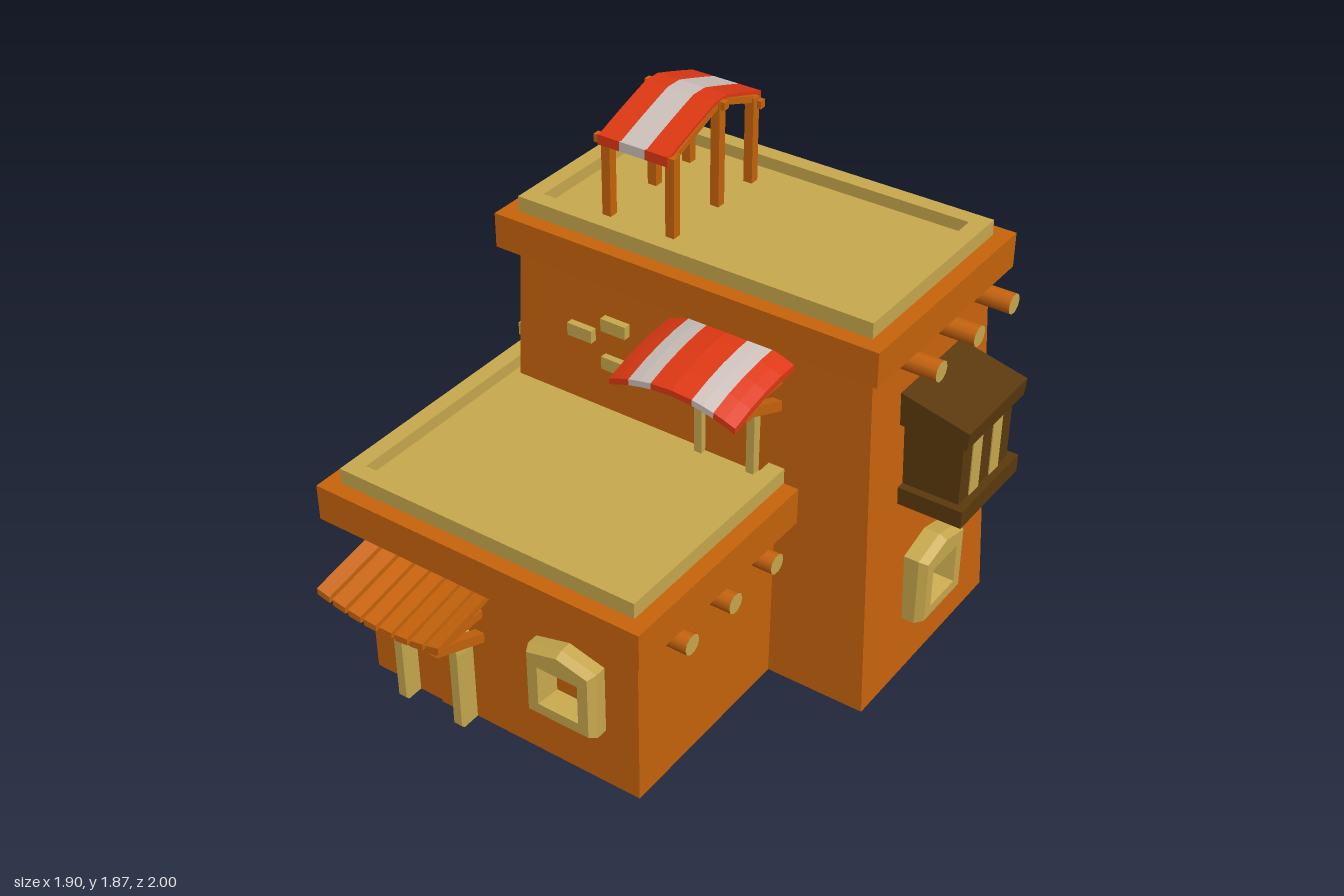
import * as THREE from 'three';

const mat = (name, color, side = THREE.FrontSide) => {
  const m = new THREE.MeshStandardMaterial({ color, side });
  m.name = name;
  return m;
};

export function createModel() {
  const model = new THREE.Group();
  model.name = 'adobeHouse';
  const clay = mat('orange clay', 0xc8640c, THREE.DoubleSide);
  const sand = mat('sand', 0xc8a94e);
  const darkWood = mat('dark wood', 0x5c390d);
  const red = mat('red cloth', 0xde3812);
  const white = mat('white cloth', 0xcdc0ba);

  const add = (name, geo, material, parent = model) => {
    const mesh = new THREE.Mesh(geo, material);
    mesh.name = name;
    parent.add(mesh);
    return mesh;
  };
  const flat = (geo) => {
    const g = geo.index ? geo.toNonIndexed() : geo;
    g.computeVertexNormals();
    return g;
  };
  // Box given by its limits
  const block = (name, m, x0, x1, y0, y1, z0, z1, parent) =>
    add(name, new THREE.BoxGeometry(x1 - x0, y1 - y0, z1 - z0)
      .translate((x0 + x1) / 2, (y0 + y1) / 2, (z0 + z1) / 2), m, parent);
  // Thin slab whose height follows a rule y(x, z)
  const sheet = (name, m, x0, x1, z0, z1, t, rule, sx = 1, sz = 1) => {
    const g = new THREE.BoxGeometry(x1 - x0, t, z1 - z0, sx, 1, sz)
      .translate((x0 + x1) / 2, 0, (z0 + z1) / 2);
    const p = g.attributes.position;
    for (let i = 0; i < p.count; i++) p.setY(i, p.getY(i) + rule(p.getX(i), p.getZ(i)));
    return add(name, flat(g), m);
  };
  // Square timber between two points
  const beam = (name, a, b, w, m = clay) => {
    const p = new THREE.Vector3(...a), q = new THREE.Vector3(...b);
    const mesh = add(name, new THREE.BoxGeometry(w, w, p.distanceTo(q)), m);
    mesh.position.copy(p).add(q).multiplyScalar(0.5);
    mesh.lookAt(q);
  };

  // Walls: open-bottomed boxes, narrowed towards the top
  const walls = (name, b, t, h) => {
    const g = new THREE.BoxGeometry(1, 1, 1);
    const p = g.attributes.position;
    for (let i = 0; i < p.count; i++) {
      const r = p.getY(i) > 0 ? t : b;
      p.setXYZ(i, p.getX(i) > 0 ? r[1] : r[0], p.getY(i) > 0 ? h : 0, p.getZ(i) > 0 ? r[3] : r[2]);
    }
    const idx = Array.from(g.index.array);
    idx.splice(18, 6);
    g.setIndex(idx);
    g.clearGroups();
    add(name, flat(g), clay);
  };
  walls('lowerWalls', [-0.755, 0.365, -0.89, 0.72], [-0.755, 0.365, -0.89, 0.72], 0.7);
  walls('towerWalls', [-0.735, 0.74, -0.88, -0.04], [-0.675, 0.69, -0.8, -0.06], 1.36);

  // Parapet band with a recessed sand roof
  const roof = (name, x0, x1, z0, z1, y0, y1, y2) => {
    block(name + 'Parapet', clay, x0, x1, y0, y1, z0, z1);
    const rect = (C, d) => {
      const s = new C();
      s.moveTo(x0 + d, -z1 + d); s.lineTo(x1 - d, -z1 + d);
      s.lineTo(x1 - d, -z0 - d); s.lineTo(x0 + d, -z0 - d);
      s.closePath();
      return s;
    };
    const rim = rect(THREE.Shape, 0.057);
    rim.holes.push(rect(THREE.Path, 0.117));
    add(name + 'Rim', new THREE.ExtrudeGeometry(rim, { depth: y2 - y1, bevelEnabled: false })
      .rotateX(-Math.PI / 2).translate(0, y1, 0), sand);
    block(name + 'Floor', sand, x0 + 0.1, x1 - 0.1, y1 - 0.01, y1 + 0.012, z0 + 0.1, z1 - 0.1);
  };
  roof('lowerRoof', -0.84, 0.45, -1, 0.83, 0.675, 0.81, 0.868);
  roof('towerRoof', -0.73, 0.74, -0.875, 0, 1.345, 1.472, 1.528);

  // Protruding log ends with pale cut faces
  const logs = (name, x0, x1, y, zs) => zs.forEach((z) => {
    const g = new THREE.CylinderGeometry(0.037, 0.037, x1 - x0, 10)
      .rotateZ(Math.PI / 2).translate((x0 + x1) / 2, y, z);
    add(name, g, [clay, sand, sand]);
  });
  logs('lowerLeftLog', 0.3, 0.475, 0.615, [0.585, 0.345, 0.105]);
  logs('lowerRightLog', -0.95, -0.7, 0.615, [0.35, 0.11, -0.12, -0.36]);
  logs('towerLeftLog', 0.65, 0.82, 1.297, [-0.26, -0.505, -0.74]);
  logs('towerRightLog', -0.81, -0.62, 1.297, [-0.26, -0.505, -0.74]);

  // Window frames: gabled rings joined from back to front and into the opening
  const ring = (w, y0, y1, peak, z) =>
    [[-w, y0, z], [w, y0, z], [w, y1, z], [0, peak, z], [-w, y1, z]];
  const rings = [
    ring(0.135, 0.23, 0.495, 0.53, -0.03), ring(0.135, 0.23, 0.495, 0.53, 0.045),
    ring(0.12, 0.245, 0.485, 0.515, 0.075), ring(0.08, 0.285, 0.44, 0.44, 0.075),
    ring(0.058, 0.305, 0.425, 0.425, 0)];
  const pos = [];
  for (let i = 0; i < rings.length - 1; i++) {
    for (let j = 0; j < 5; j++) {
      const k = (j + 1) % 5, A = rings[i], B = rings[i + 1];
      pos.push(...A[j], ...A[k], ...B[k], ...A[j], ...B[k], ...B[j]);
    }
  }
  const frameGeo = new THREE.BufferGeometry();
  frameGeo.setAttribute('position', new THREE.Float32BufferAttribute(pos, 3));
  frameGeo.computeVertexNormals();
  [[0.1, 0.718, 0], [0.733, -0.435, 1], [-0.753, 0.47, -1], [-0.753, -0.47, -1]].forEach(([x, z, turn]) => {
    const w = add('windowFrame', frameGeo, sand);
    w.position.set(x, 0, z);
    w.rotation.y = turn * Math.PI / 2;
  });

  // Arched front door
  const arch = new THREE.Shape();
  arch.moveTo(-0.145, 0);
  arch.lineTo(-0.145, 0.315);
  arch.absarc(0, 0.315, 0.145, Math.PI, 0, true);
  arch.lineTo(0.145, 0);
  arch.lineTo(0.1, 0);
  arch.lineTo(0.1, 0.315);
  arch.absarc(0, 0.315, 0.1, 0, Math.PI, false);
  arch.lineTo(-0.1, 0);
  add('doorArch', new THREE.ExtrudeGeometry(arch, { depth: 0.1, bevelEnabled: true, bevelSize: 0.006, bevelThickness: 0.006, bevelSegments: 1, bevelOffset: -0.006, curveSegments: 8 })
    .translate(-0.455, 0, 0.69), sand);
  block('doorLeafRight', clay, -0.555, -0.459, 0, 0.35, 0.715, 0.728);
  block('doorLeafLeft', clay, -0.453, -0.355, 0, 0.35, 0.715, 0.735);

  // Slatted porch roof
  const sag = (x, z) => 0.507 + 0.55 * (x + 0.455) ** 2 + (1 - z) * 0.2;
  for (let i = 0; i < 8; i++) {
    const x = -0.712 + i * 0.0655;
    sheet('porchSlat', clay, x, x + 0.052, 0.72, 1, 0.025, sag);
  }
  sheet('porchBeam', clay, -0.67, -0.245, 0.925, 0.96, 0.035,
    (x) => 0.472 + 0.45 * (x + 0.455) ** 2, 8);

  // Striped awning over the roof door
  const hump = (x, z) => 1.312 - 0.85 * (x - 0.172) ** 2 - 0.5 * (z + 0.06) ** 2;
  const stripes = [-0.065, 0.01, 0.095, 0.25, 0.33, 0.41];
  for (let i = 0; i < 5; i++) {
    sheet('awningStripe', i % 2 ? white : red, stripes[i], stripes[i + 1], -0.07, 0.27, 0.022, hump, 2, 4);
  }
  sheet('awningBeam', clay, -0.045, 0.385, 0.135, 0.17, 0.035,
    (x) => 1.225 - 0.8 * (x - 0.172) ** 2, 8);

  // Brackets carrying the porch roof and the awning
  const bracket = (x, y, z0, z1) => {
    beam('bracketArm', [x, y, z0 - 0.02], [x, y, z1], 0.032);
    beam('bracketBrace', [x, y - 0.11, z0 - 0.02], [x, y - 0.01, z1 - 0.01], 0.036);
  };
  [-0.635, -0.275].forEach((x) => bracket(x, 0.475, 0.72, 0.95));
  [-0.01, 0.355].forEach((x) => bracket(x, 1.205, -0.06, 0.165));

  // Roof door
  block('roofDoorJamb', sand, 0.06, 0.09, 0.82, 1.14, -0.08, -0.02);
  block('roofDoorJamb', sand, 0.265, 0.295, 0.82, 1.14, -0.08, -0.02);
  block('roofDoorHead', sand, 0.06, 0.295, 1.11, 1.14, -0.08, -0.02);
  block('roofDoorLintel', sand, 0.045, 0.308, 1.132, 1.163, -0.08, -0.01);
  block('roofDoorLeaf', clay, 0.09, 0.265, 0.82, 1.11, -0.06, -0.043);

  // Exposed bricks
  [[-0.275, 1.168], [-0.415, 1.102], [-0.275, 1.018]].forEach(([x, y]) =>
    block('frontBrick', sand, x - 0.05, x + 0.05, y - 0.024, y + 0.024, -0.08, -0.03));
  [[-0.21, 1.102], [-0.12, 0.992]].forEach(([z, y]) =>
    block('sideBrick', sand, -0.71, -0.66, y - 0.024, y + 0.024, z - 0.05, z + 0.05));

  // Enclosed timber balcony
  const balcony = new THREE.Group();
  balcony.name = 'balcony';
  model.add(balcony);
  block('balconyBase', darkWood, 0.66, 0.945, 0.75, 0.815, -0.625, -0.24, balcony);
  block('balconyBox', darkWood, 0.66, 0.915, 0.81, 1.08, -0.6, -0.27, balcony);
  const side = new THREE.Shape([[0.66, 1.06], [0.94, 1.055], [0.947, 1.12], [0.66, 1.188]]
    .map(([x, y]) => new THREE.Vector2(x, y)));
  add('balconyRoof', new THREE.ExtrudeGeometry(side, { depth: 0.385, bevelEnabled: false })
    .translate(0, 0, -0.625), darkWood, balcony);
  [-0.365, -0.5].forEach((z) =>
    block('balconyPane', sand, 0.913, 0.919, 0.815, 1.056, z - 0.031, z + 0.031, balcony));

  // Rooftop canopy on six posts
  const ridge = (x, z) => 1.878 - 0.3 * Math.abs(z + 0.455) - 0.12 * (z + 0.455) ** 2;
  const bands = [-0.415, -0.328, -0.228, -0.14];
  for (let i = 0; i < 3; i++) {
    const m = i % 2 ? white : red;
    sheet('canopyStripe', m, bands[i], bands[i + 1], -0.69, -0.155, 0.012, ridge, 1, 8);
    block('canopyValance', m, bands[i], bands[i + 1], 1.755, 1.79, -0.163, -0.155);
    block('canopyValance', m, bands[i], bands[i + 1], 1.755, 1.8, -0.69, -0.682);
  }
  for (const x of [-0.405, -0.152]) {
    for (const z of [-0.2, -0.455, -0.655]) {
      block('canopyPost', clay, x - 0.017, x + 0.017, 1.475, ridge(x, z) - 0.015, z - 0.017, z + 0.017);
    }
    for (const z of [-0.17, -0.675]) {
      beam('canopyRafter', [x, ridge(x, z) - 0.025, z], [x, 1.86, -0.455], 0.022);
    }
  }
  for (const [z, y] of [[-0.175, 1.77], [-0.455, 1.853], [-0.672, 1.77]]) {
    block('canopyCrossbar', clay, -0.435, -0.12, y - 0.014, y + 0.014, z - 0.013, z + 0.013);
  }
  return model;
}
